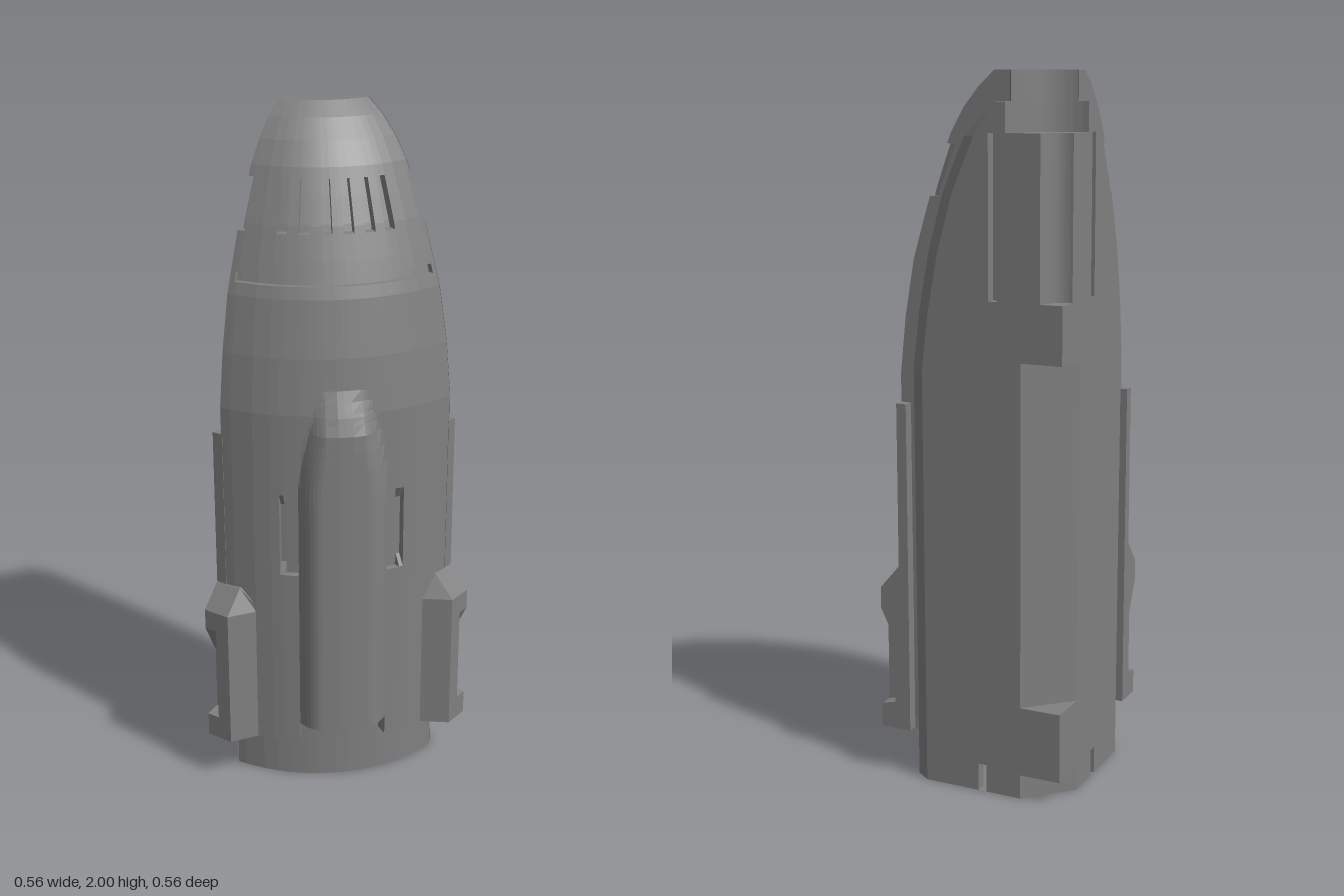
import * as THREE from 'three';

// Quarter section of a rocket hull. Built around its axis (radius r, angle t), then shifted.
const AXIS = -0.28, STEP = 0.03, E = 0.0005, DEG = Math.PI / 180;
const mat = new THREE.MeshStandardMaterial({ color: 0x808080, side: THREE.DoubleSide });
const clamp = THREE.MathUtils.clamp;

// Outer hull and inner core profiles as [radius, height]
const HULL = [[0.5, 0], [0.5, 1.18], [0.483, 1.34], [0.455, 1.5], [0.425, 1.6], [0.397, 1.69],
  [0.37, 1.76], [0.338, 1.84], [0.3, 1.905], [0.255, 1.96], [0.21, 2]];
const CORE = [[0.458, 0], [0.46, 1.2], [0.44, 1.36], [0.41, 1.52],
  [0.365, 1.68], [0.3, 1.83], [0.195, 1.92]];
const SLOTS = [0, 1, 2, 3, 4, 5].map(i => 23 + 8.8 * i);
const SLOT_HALF = 2.2;

function profileRadius(y) {
  const i = clamp(HULL.findIndex(p => p[1] >= y), 1, HULL.length - 1);
  const [r0, y0] = HULL[i - 1], [r1, y1] = HULL[i];
  return r0 + (r1 - r0) * (y - y0) / (y1 - y0);
}

// Hull radius with bulge, side vents, groove and louvre slots
function hullRadius(deg, y) {
  let r = profileRadius(y);
  const w = Math.abs(deg - 45) * DEG * 0.5;
  if (y < 0.2) return w < 0.13 ? 0.458 : r;
  const half = 0.13 - 0.07 * clamp((y - 0.9) / 0.35, 0, 1) ** 2;
  const rise = Math.sin(Math.PI / 2 * clamp((half - w) / 0.065, 0, 1));
  r += 0.04 * rise * clamp((1.25 - y) / 0.12, 0, 1);
  const corner = w > 0.17 && (y < 0.72 || y > 0.91);
  if (y > 0.69 && y < 0.94 && w > 0.131 && w < 0.185 && !corner) r -= 0.02;
  if (y > 1.535 && y < 1.56 && deg > 6 && deg < 84) r -= 0.014;
  if (y > 1.67 && y < 1.81) {
    const inSlot = deg < 7.4 || deg > 82.6 || SLOTS.some(s => Math.abs(deg - s) < SLOT_HALF);
    if (inSlot) r -= 0.025;
  }
  return r;
}

const sortedWithSteps = (plain, steps) =>
  [...plain, ...steps.flatMap(s => [s - E, s + E])].sort((a, b) => a - b);

const heights = sortedWithSteps(
  [0.14, 0.5, 0.725, 0.905, 0.97, 1.03, 1.08, 1.13, 1.16, 1.19, 1.22, 1.25, ...HULL.slice(1).map(p => p[1])],
  [0.2, 0.69, 0.94, 1.535, 1.56, 1.67, 1.81]);

function angles() {
  const bulge = [];
  for (let a = 6; a <= 14; a += 1.3) bulge.push(45 - a, 45 + a);
  const ventCorner = 0.169 / 0.5 / DEG;
  const ventEdges = [0.13, 0.131, 0.185].map(w => w / 0.5 / DEG);
  return sortedWithSteps(
    [0, 90, 15, 37.5, 45, 52.5, 75, 45 - ventCorner, 45 + ventCorner, ...bulge],
    [6, 84, 7.4, 82.6, ...ventEdges.flatMap(a => [45 - a, 45 + a]),
      ...SLOTS.flatMap(s => [s - SLOT_HALF, s + SLOT_HALF])]);
}

// Sweep rows around the axis; each row gives height, radius rule and setback from the cut planes
function sweep(rows) {
  const ts = angles(), pos = [], idx = [], n = ts.length;
  rows.forEach(({ y, r, d }) => ts.forEach(deg => {
    const rad = r(deg, y), lim = Math.asin(d / rad);
    const t = clamp(deg * DEG, lim, Math.PI / 2 - lim);
    pos.push(rad * Math.cos(t), y, rad * Math.sin(t));
  }));
  for (let i = 0; i < rows.length - 1; i++) for (let j = 0; j < n - 1; j++) {
    const a = i * n + j, b = a + n;
    idx.push(a, b, a + 1, a + 1, b, b + 1);
  }
  const indexed = new THREE.BufferGeometry();
  indexed.setAttribute('position', new THREE.Float32BufferAttribute(pos, 3));
  indexed.setIndex(idx);
  const g = indexed.toNonIndexed();
  g.computeVertexNormals();
  return g;
}

const shapeOf = pts => new THREE.Shape(pts.map(p => new THREE.Vector2(p[0], p[1])));
function add(parent, name, geo) {
  const m = new THREE.Mesh(geo, mat);
  m.name = name;
  parent.add(m);
}
function slab(pts, from, to, holes = []) {
  const s = shapeOf(pts);
  s.holes = holes.map(h => new THREE.Path(h.map(p => new THREE.Vector2(p[0], p[1]))));
  return new THREE.ExtrudeGeometry(s, { depth: to - from, bevelEnabled: false }).translate(0, 0, from);
}
// Move vertices by a rule that returns the new [x, y]
function reshape(geo, rule) {
  const p = geo.attributes.position;
  for (let i = 0; i < p.count; i++) p.setXY(i, ...rule(p.getX(i), p.getY(i), p.getZ(i)));
  geo.computeVertexNormals();
  return geo;
}

// Parts along one cut plane (z = 0 here)
function cutSide() {
  const g = new THREE.Group();
  g.name = 'cutSide';
  // Core face with blocks, channel, cavity and bottom notch; its outer edge is chamfered
  const inner = [[0.165, 1.84], [0.065, 1.84], [0.065, 1.4], [0, 1.4], [0, 1.24], [0.12, 1.24],
    [0.12, 0.27], [0, 0.27], [0, 0.07], [0.12, 0.07], [0.12, 0],
    [0.225, 0], [0.225, 0.08], [0.25, 0.08], [0.25, 0]];
  const groove = [[0.19, 1.4], [0.215, 1.4], [0.215, 1.84], [0.19, 1.84]];
  const core = slab([...CORE, [0.165, 1.92], ...inner], 0, STEP, [groove]);
  add(g, 'coreFace', reshape(core, (x, y, z) => [z < 0.01 && x > 0.29 ? x - 0.042 : x, y]));

  // Set-back end of the hull
  const edge = heights.map(y => [hullRadius(4, y), y]);
  const face = new THREE.ShapeGeometry(shapeOf([[0.12, 0.14], ...edge, [0.165, 2], [0.165, 1.84], [0.12, 1.84]]));
  add(g, 'hullEndFace', face.translate(0, 0, STEP));

  // Lip that carries the hull to the cut plane, leaving a slit beside the core
  add(g, 'hullLip', new THREE.BoxGeometry(0.03, 0.96, 0.034).translate(0.485, 0.62, 0.017));

  // Fin: pocketed strip at the cut plane, full rib, tapered flank
  const full = [[0.47, 0.14], [0.56, 0.14], [0.56, 0.56], [0.5, 0.63], [0.47, 0.63]];
  const pocketed = [[0.47, 0.14], [0.56, 0.14], [0.56, 0.21], [0.517, 0.22], [0.517, 0.41],
    [0.56, 0.5], [0.56, 0.56], [0.5, 0.63], [0.47, 0.63]];
  add(g, 'finPocket', slab(pocketed, 0, 0.04));
  add(g, 'finRib', slab(full, 0.04, 0.085));
  add(g, 'finFlank', reshape(slab(full, 0.085, 0.13),
    (x, y, z) => z > 0.12 ? [Math.min(x, 0.482), Math.min(y, 0.58)] : [x, y]));
  return g;
}

export function createModel() {
  const model = new THREE.Group(), body = new THREE.Group();
  model.name = 'rocketHullQuarter';
  body.name = 'hullSection';
  body.position.set(AXIS, 0, AXIS);
  model.add(body);

  // One skin: inner chamfer, underside, base, hull, top ring, cavity and channel
  const ring = (r, y, d = 0) => ({ y, r: () => r, d });
  const chamfer = y => ({ y, d: 0, r: t => 0.12 / (Math.cos(t * DEG) + Math.sin(t * DEG)) });
  add(body, 'hullSkin', sweep([
    chamfer(1.24), chamfer(0), ring(0.416, 0), ring(0.458, 0, STEP), ring(0.458, 0.14, STEP),
    ...heights.map(y => ({ y, r: hullRadius, d: STEP })),
    ring(0.165, 2, STEP), ring(0.165, 1.92, STEP), ring(0.165, 1.92), ring(0.165, 1.84),
    ring(0.065, 1.84), ring(0.065, 1.4),
  ]));

  // Corner blocks on the axis
  for (const [name, y0, y1] of [['lowerBlock', 0.07, 0.27], ['upperBlock', 1.24, 1.4]]) {
    const geo = slab([[0, 0], [0.12, 0], [0, 0.12]], -y1, -y0);
    add(body, name, geo.rotateX(Math.PI / 2));
  }

  // Both cut planes, the second mirrored across the diagonal
  const mirrored = cutSide();
  mirrored.rotation.y = -Math.PI / 2;
  mirrored.scale.z = -1;
  body.add(cutSide(), mirrored);
  return model;
}
